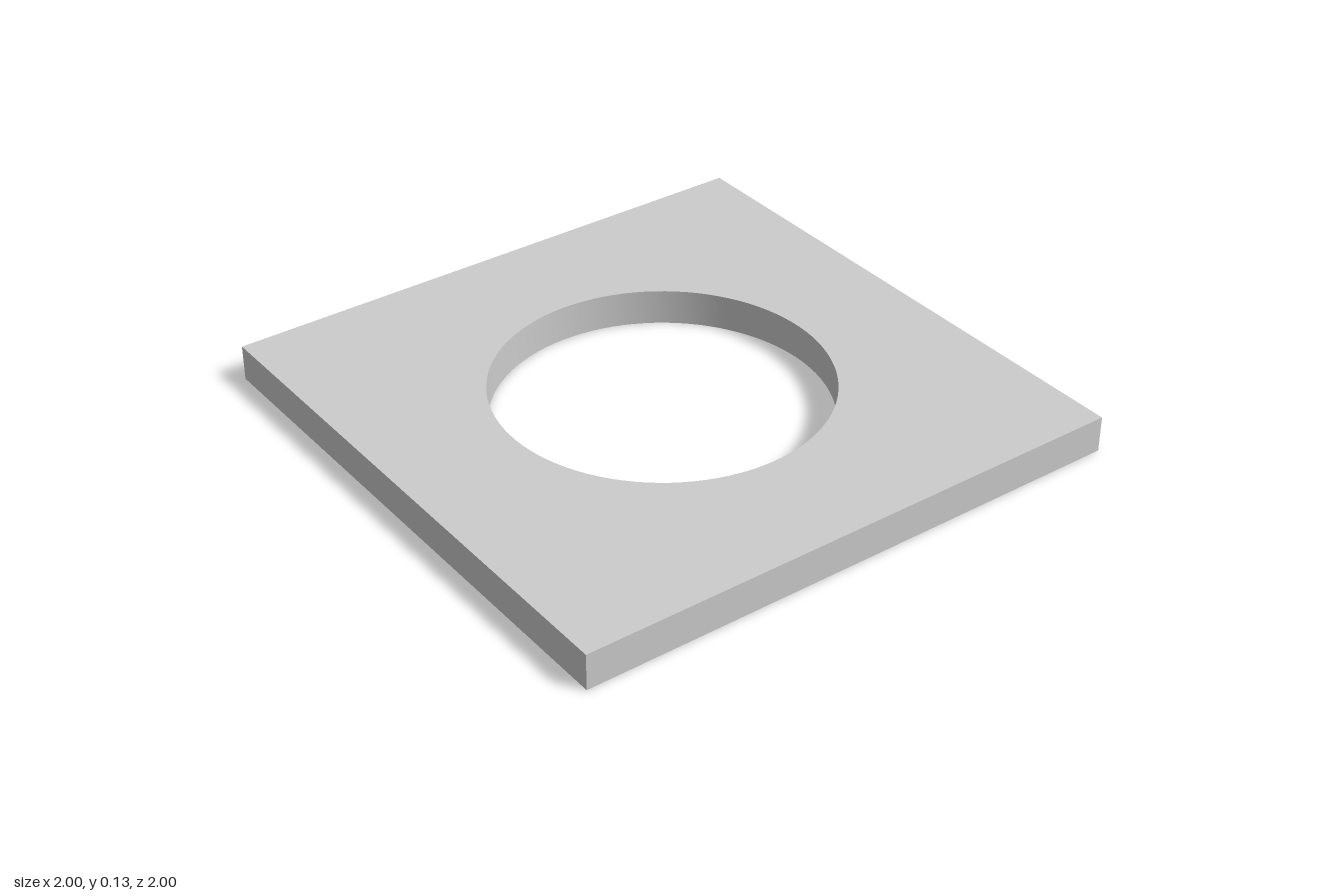
import * as THREE from 'three';
import { toCreasedNormals } from 'three/addons/utils/BufferGeometryUtils.js';

const SIZE = 2;
const THICKNESS = 0.127;
const HOLE_RADIUS = 0.572;

export function createModel() {
  const group = new THREE.Group();
  group.name = 'squareWasher';

  // Square outline with a round centre hole
  const h = SIZE / 2;
  const outline = new THREE.Shape([
    new THREE.Vector2(-h, -h),
    new THREE.Vector2(h, -h),
    new THREE.Vector2(h, h),
    new THREE.Vector2(-h, h),
  ]);
  outline.holes.push(new THREE.Path().absarc(0, 0, HOLE_RADIUS, 0, Math.PI * 2, true));

  // Extruded upward from the ground, with a smooth bore and sharp edges
  const extruded = new THREE.ExtrudeGeometry(outline, {
    depth: THICKNESS,
    bevelEnabled: false,
    curveSegments: 48,
  });
  extruded.rotateX(-Math.PI / 2);

  const plate = new THREE.Mesh(
    toCreasedNormals(extruded, Math.PI / 6),
    new THREE.MeshStandardMaterial({ color: 0xcccccc })
  );
  plate.name = 'plate';
  group.add(plate);

  return group;
}
